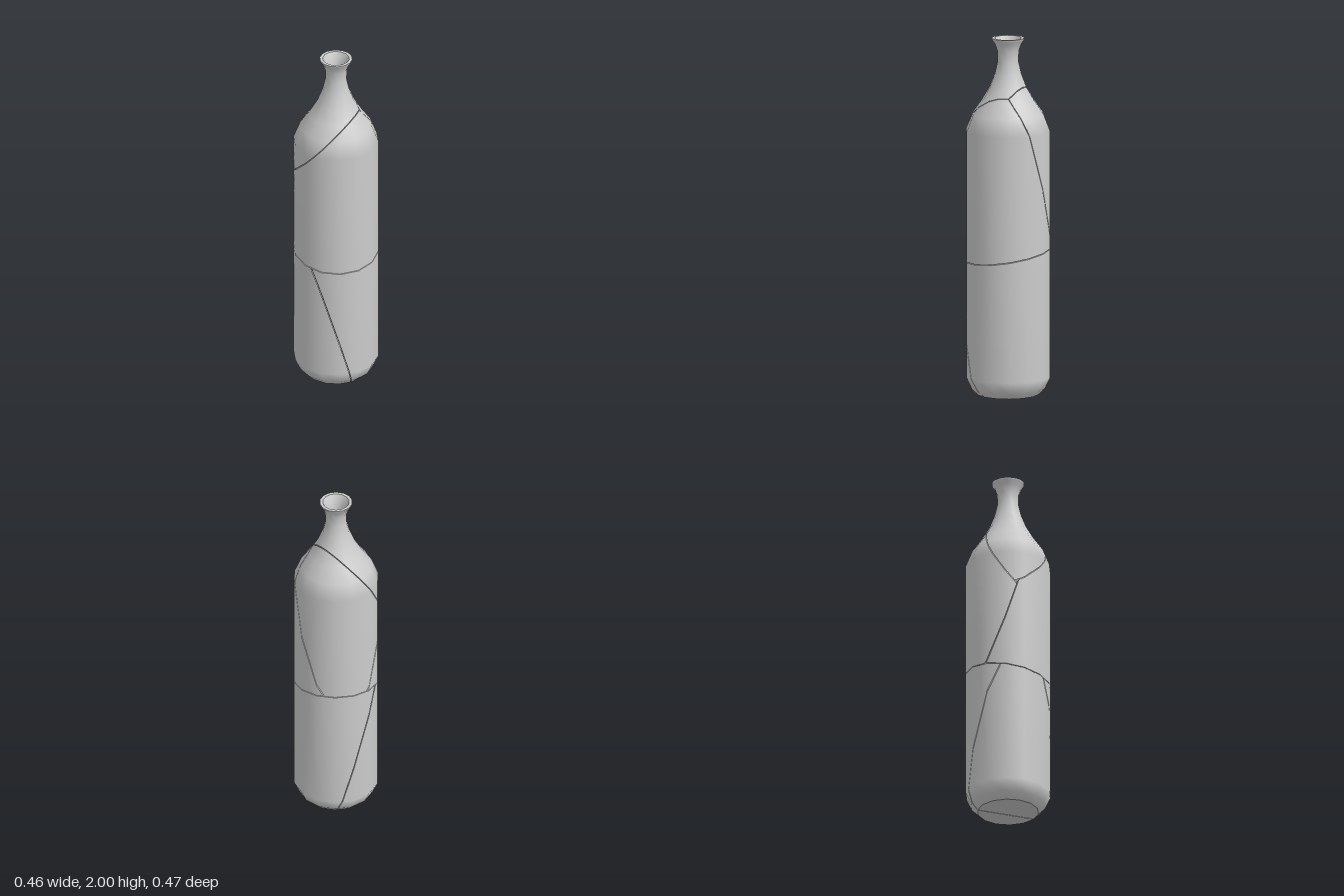
import * as THREE from 'three';

const SIDES = 14, GAP = 0.002, WALL = 0.02;

// Profile runs, each smooth in itself: [radius, height]
const outerRuns = [
  [[0, 0], [0.17, 0]],
  [[0.17, 0], [0.207, 0.035], [0.237, 0.1], [0.237, 1.48], [0.2, 1.575], [0.147, 1.65], [0.104, 1.725],
    [0.075, 1.8], [0.059, 1.87], [0.061, 1.93], [0.075, 1.97], [0.09, 1.99], [0.091, 2]],
  [[0.091, 2], [0.074, 2]],
];
const innerRuns = [
  [[0.074, 2], [0.058, 1.97], [0.041, 1.92], [0.04, 1.87], [0.055, 1.79], [0.084, 1.72], [0.126, 1.645],
    [0.18, 1.57], [0.217, 1.475], [0.217, 0.105], [0.19, 0.045], [0.155, 0.02]],
  [[0.155, 0.02], [0, 0.02]],
];

// Fracture planes: normal and offset
const plane = (x, y, z, d) => {
  const n = new THREE.Vector3(x, y, z), l = n.length();
  return { n: n.divideScalar(l), d: d / l };
};
const flip = (p) => ({ n: p.n.clone().negate(), d: -p.d });
const shoulderFront = plane(-0.987, 1, 0.497, 1.537);
const shoulderBack = plane(0.17, 1, 1.607, 1.569);
const bodySplit = plane(0.885, -0.295, 0.36, -0.431);
const waist = plane(0.13, 1, 0.096, 0.787);
const baseSplit = plane(0.437, 0.281, -0.854, 0.034);

// Each shard keeps what lies behind all its planes
const shards = {
  neckShard: [flip(shoulderFront), flip(shoulderBack)],
  frontBodyShard: [shoulderFront, flip(bodySplit), flip(waist)],
  backBodyShard: [shoulderBack, bodySplit, flip(waist)],
  frontBaseShard: [waist, baseSplit],
  backBaseShard: [waist, flip(baseSplit)],
};

// Turned surface as a list of triangles
function turned(run, outer) {
  const g = new THREE.LatheGeometry(run.map(([r, y]) => new THREE.Vector2(r, y)), SIDES).toNonIndexed();
  const { position, normal } = g.attributes, faces = [];
  for (let i = 0; i < position.count; i += 3) {
    faces.push({
      outer,
      v: [0, 1, 2].map((k) => ({
        p: new THREE.Vector3().fromBufferAttribute(position, i + k),
        n: new THREE.Vector3().fromBufferAttribute(normal, i + k),
      })),
    });
  }
  return faces;
}

// Cut faces by a plane and add the broken wall along the cut
function clip(faces, { n, d }) {
  const out = [];
  const dist = (a) => a.p.dot(n) - d + GAP;
  const inward = (a) => {
    const dir = a.n.clone().negate();
    dir.addScaledVector(n, -dir.dot(n)).normalize();
    return a.p.clone().addScaledVector(dir, WALL);
  };
  for (const face of faces) {
    const kept = [];
    let leave = null, enter = null;
    face.v.forEach((a, i) => {
      const b = face.v[(i + 1) % face.v.length], da = dist(a), db = dist(b);
      if (da <= 0) kept.push(a);
      if ((da <= 0) !== (db <= 0)) {
        const t = da / (da - db);
        const cut = { p: a.p.clone().lerp(b.p, t), n: a.n.clone().lerp(b.n, t).normalize() };
        kept.push(cut);
        if (da <= 0) leave = cut; else enter = cut;
      }
    });
    if (kept.length < 3) continue;
    out.push({ outer: face.outer, v: kept });
    if (face.outer && leave && enter) {
      const wall = [enter.p, leave.p, inward(leave), inward(enter)];
      out.push({ outer: false, v: wall.map((p) => ({ p, n })) });
    }
  }
  return out;
}

function toGeometry(faces) {
  const pos = [], nor = [];
  for (const { v } of faces) {
    for (let i = 1; i < v.length - 1; i++) {
      for (const a of [v[0], v[i], v[i + 1]]) {
        pos.push(...a.p.toArray());
        nor.push(...a.n.toArray());
      }
    }
  }
  const g = new THREE.BufferGeometry();
  g.setAttribute('position', new THREE.Float32BufferAttribute(pos, 3));
  g.setAttribute('normal', new THREE.Float32BufferAttribute(nor, 3));
  return g;
}

export function createModel() {
  const bottle = new THREE.Group();
  bottle.name = 'crackedBottle';
  const material = new THREE.MeshStandardMaterial({ color: 0xcccccc });
  const skin = [
    ...outerRuns.flatMap((run) => turned(run, true)),
    ...innerRuns.flatMap((run) => turned(run, false)),
  ];
  for (const [name, planes] of Object.entries(shards)) {
    const mesh = new THREE.Mesh(toGeometry(planes.reduce(clip, skin)), material);
    mesh.name = name;
    bottle.add(mesh);
  }
  return bottle;
}
